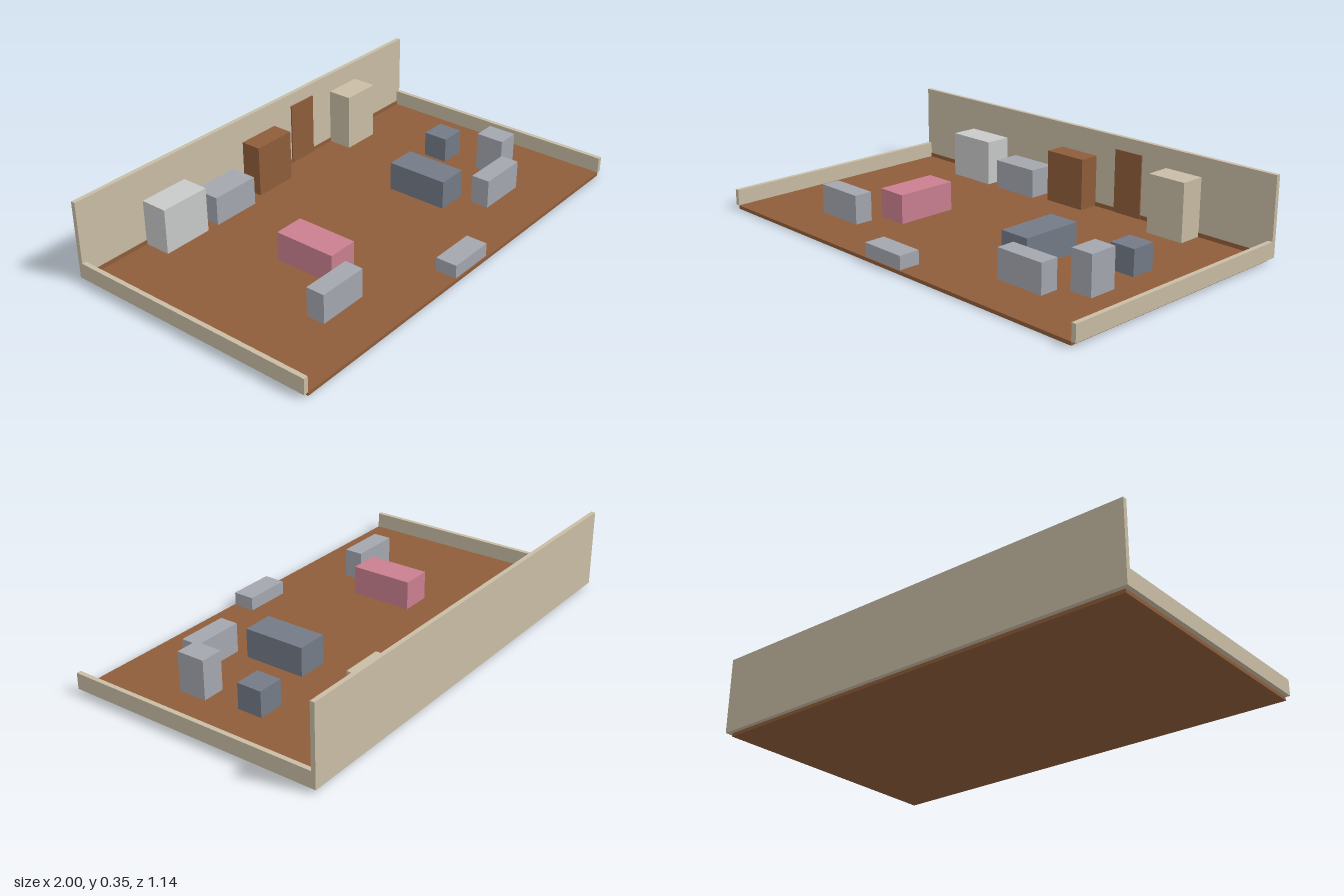
import * as THREE from 'three';

const material = (name, color) => {
  const m = new THREE.MeshStandardMaterial({ color });
  m.name = name;
  return m;
};

export function createModel() {
  const wood = material('brown wood', 0x8f5d3a);
  const plaster = material('beige plaster', 0xc9bda5);
  const grey = material('soft grey', 0xa3a7ae);
  const slate = material('slate blue', 0x737b87);
  const pink = material('rose pink', 0xca7f90);
  const pale = material('pale grey', 0xc8c9c9);

  const room = new THREE.Group();
  room.name = 'room';

  // Box given by its extents along each axis
  const block = (name, mat, [x0, x1], [y0, y1], [z0, z1]) => {
    const mesh = new THREE.Mesh(new THREE.BoxGeometry(x1 - x0, y1 - y0, z1 - z0), mat);
    mesh.position.set((x0 + x1) / 2, (y0 + y1) / 2, (z0 + z1) / 2);
    mesh.name = name;
    room.add(mesh);
  };

  const floorTop = 0.015;
  const wallFace = -0.549;
  const front = 0.568;

  // Shell: floor slab, tall back wall, low side walls, skirting and door
  block('floor', wood, [-0.98, 0.98], [0, floorTop], [wallFace, front]);
  block('backWall', plaster, [-1, 1], [floorTop, 0.352], [-0.568, wallFace]);
  for (const [name, s] of [['leftWall', 1], ['rightWall', -1]]) {
    const xs = [0.98 * s, s].sort((a, b) => a - b);
    block(name, plaster, xs, [floorTop, 0.084], [wallFace, front]);
  }
  block('skirting', wood, [-0.98, 0.98], [floorTop, 0.033], [wallFace, wallFace + 0.003]);
  block('door', wood, [0.206, 0.348], [floorTop, 0.294], [wallFace, wallFace + 0.006]);

  // Furniture: name, material, x extent, top height, z extent
  const furniture = [
    ['fridge', pale, [-0.675, -0.448], 0.214, [wallFace, -0.428]],
    ['counter', grey, [-0.393, -0.168], 0.142, [wallFace, -0.428]],
    ['wardrobe', wood, [-0.103, 0.097], 0.241, [wallFace, -0.457]],
    ['cabinet', plaster, [0.474, 0.652], 0.267, [wallFace, -0.438]],
    ['pinkBed', pink, [-0.432, -0.297], 0.141, [-0.06, 0.215]],
    ['slateBed', slate, [0.293, 0.43], 0.141, [-0.06, 0.215]],
    ['stool', slate, [0.64, 0.755], 0.126, [-0.129, -0.018]],
    ['sideCabinet', grey, [0.683, 0.782], 0.183, [0.122, 0.248]],
    ['rightBench', grey, [-0.648, -0.424], 0.141, [0.276, 0.358]],
    ['leftBench', grey, [0.417, 0.642], 0.141, [0.276, 0.358]],
    ['frontBench', grey, [-0.106, 0.102], 0.073, [0.468, 0.562]],
  ];
  for (const [name, mat, xs, top, zs] of furniture) block(name, mat, xs, [floorTop, top], zs);

  return room;
}
